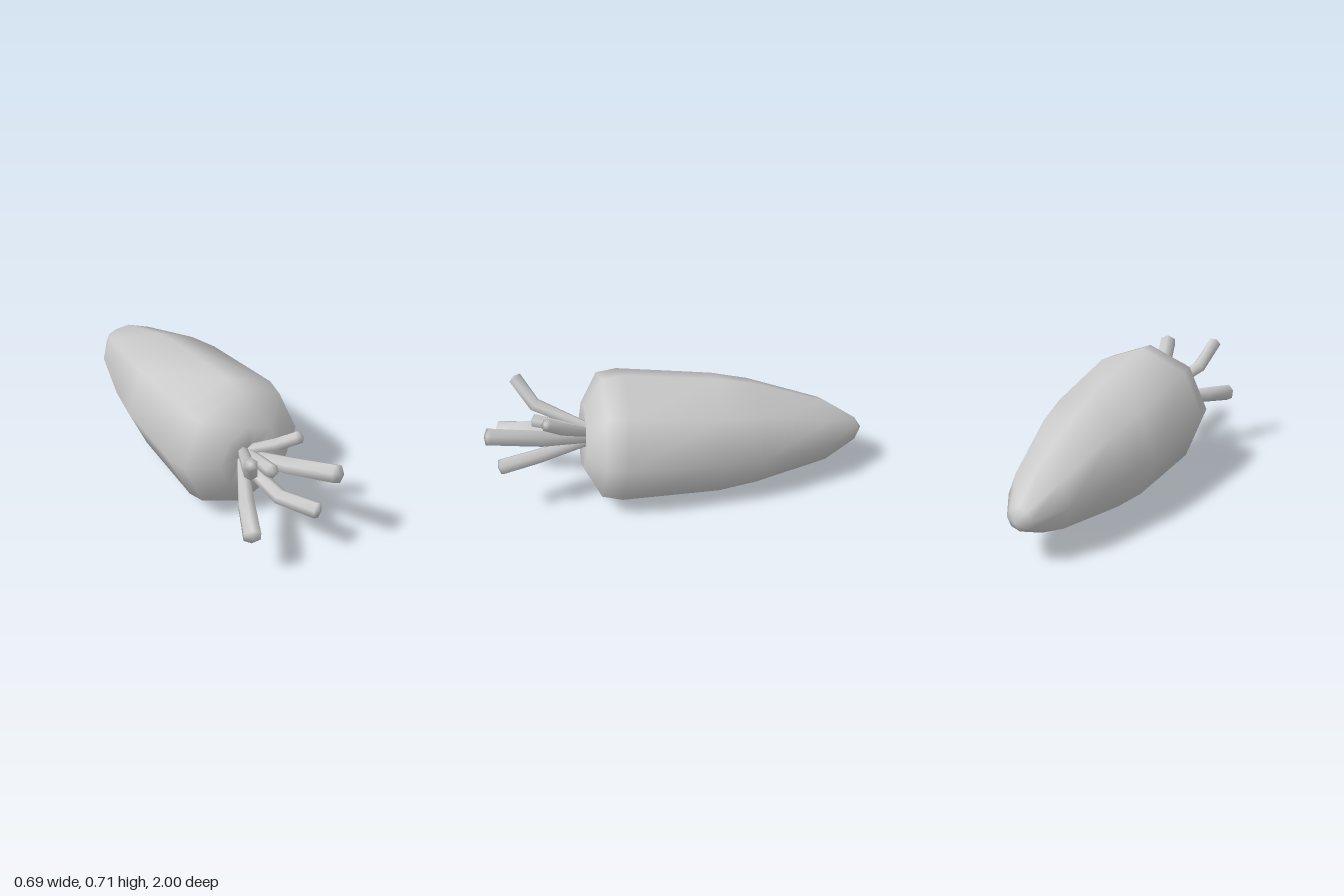
import * as THREE from 'three';

const V = (x, y, z) => new THREE.Vector3(x, y, z);
const material = new THREE.MeshStandardMaterial({ color: 0xcccccc });

// Smooth closed skin over rings running from +z to -z, with a centre point closing each end
function loft(name, rings, startPoint, endPoint) {
  const n = rings[0].length, last = (rings.length - 1) * n;
  const points = [...rings.flat(), startPoint, endPoint];
  const c0 = points.length - 2, c1 = points.length - 1;
  const index = [];
  for (let j = 0; j < n; j++) {
    const k = (j + 1) % n;
    index.push(c0, k, j, c1, last + j, last + k);
    for (let b = 0; b < last; b += n)
      index.push(b + j, b + k, b + n + j, b + k, b + n + k, b + n + j);
  }
  const geometry = new THREE.BufferGeometry().setFromPoints(points);
  geometry.setIndex(index);
  geometry.computeVertexNormals();
  const mesh = new THREE.Mesh(geometry, material);
  mesh.name = name;
  return mesh;
}

// Eight-sided root; each section: [half width, top y, top z, bottom y, bottom z]
function createRoot() {
  const sections = [
    [0.06, 0.43, 0.485, 0.31, 0.49],
    [0.17, 0.55, 0.49, 0.2, 0.52],
    [0.325, 0.70, 0.39, 0.05, 0.45],
    [0.347, 0.71, 0.28, 0.02, 0.35],
    [0.315, 0.63, -0.22, 0.0, -0.16],
    [0.28, 0.58, -0.41, 0.02, -0.37],
    [0.17, 0.43, -0.79, 0.09, -0.77],
    [0.065, 0.305, -0.96, 0.18, -0.955],
  ];
  const rings = sections.map(([w, ty, tz, by, bz]) =>
    Array.from({ length: 8 }, (_, j) => {
      const a = j * Math.PI / 4, t = (1 + Math.cos(a)) / 2;
      return V(w * Math.sin(a), by + (ty - by) * t, bz + (tz - bz) * t);
    }));
  return loft('root', rings, V(0, 0.37, 0.475), V(0, 0.24, -1));
}

// Six-sided bent stalk; path runs from the cut tip back into the root
function createStalk(name, path, radii) {
  const p = path.map(q => V(...q));
  const rings = p.map((c, i) => {
    const dir = p[Math.max(i - 1, 0)].clone().sub(p[Math.min(i + 1, p.length - 1)]).normalize();
    const side = V(0, 1, 0).cross(dir).normalize();
    const up = dir.clone().cross(side);
    return Array.from({ length: 6 }, (_, j) => {
      const a = j * Math.PI / 3;
      return c.clone().addScaledVector(side, radii[i] * Math.sin(a))
        .addScaledVector(up, radii[i] * Math.cos(a));
    });
  });
  const tip = p[0].clone().addScaledVector(p[0].clone().sub(p[1]).normalize(), 0.012);
  return loft(name, rings, tip, p[p.length - 1]);
}

export function createModel() {
  const group = new THREE.Group();
  group.name = 'carrot';
  group.add(createRoot());

  const stalks = [
    ['upperRightStalk', [[-0.205, 0.635, 0.815], [-0.145, 0.5, 0.73], [-0.02, 0.4, 0.46]], [0.035, 0.036, 0.026]],
    ['middleStalk', [[-0.037, 0.475, 0.745], [-0.02, 0.43, 0.6], [0, 0.38, 0.46]], [0.036, 0.032, 0.024]],
    ['longLeftStalk', [[0.165, 0.54, 0.975], [0.085, 0.44, 0.72], [0.005, 0.36, 0.46]], [0.047, 0.045, 0.028]],
    ['shortLeftStalk', [[0.15, 0.565, 0.69], [0.09, 0.485, 0.6], [0.005, 0.39, 0.46]], [0.033, 0.033, 0.025]],
    ['lowerRightStalk', [[-0.25, 0.303, 0.92], [-0.175, 0.33, 0.75], [-0.02, 0.365, 0.46]], [0.046, 0.043, 0.026]],
    ['lowerLeftStalk', [[0.105, 0.31, 0.93], [0.02, 0.29, 0.74], [-0.02, 0.335, 0.46]], [0.042, 0.04, 0.03]],
  ];
  for (const stalk of stalks) group.add(createStalk(...stalk));
  return group;
}
